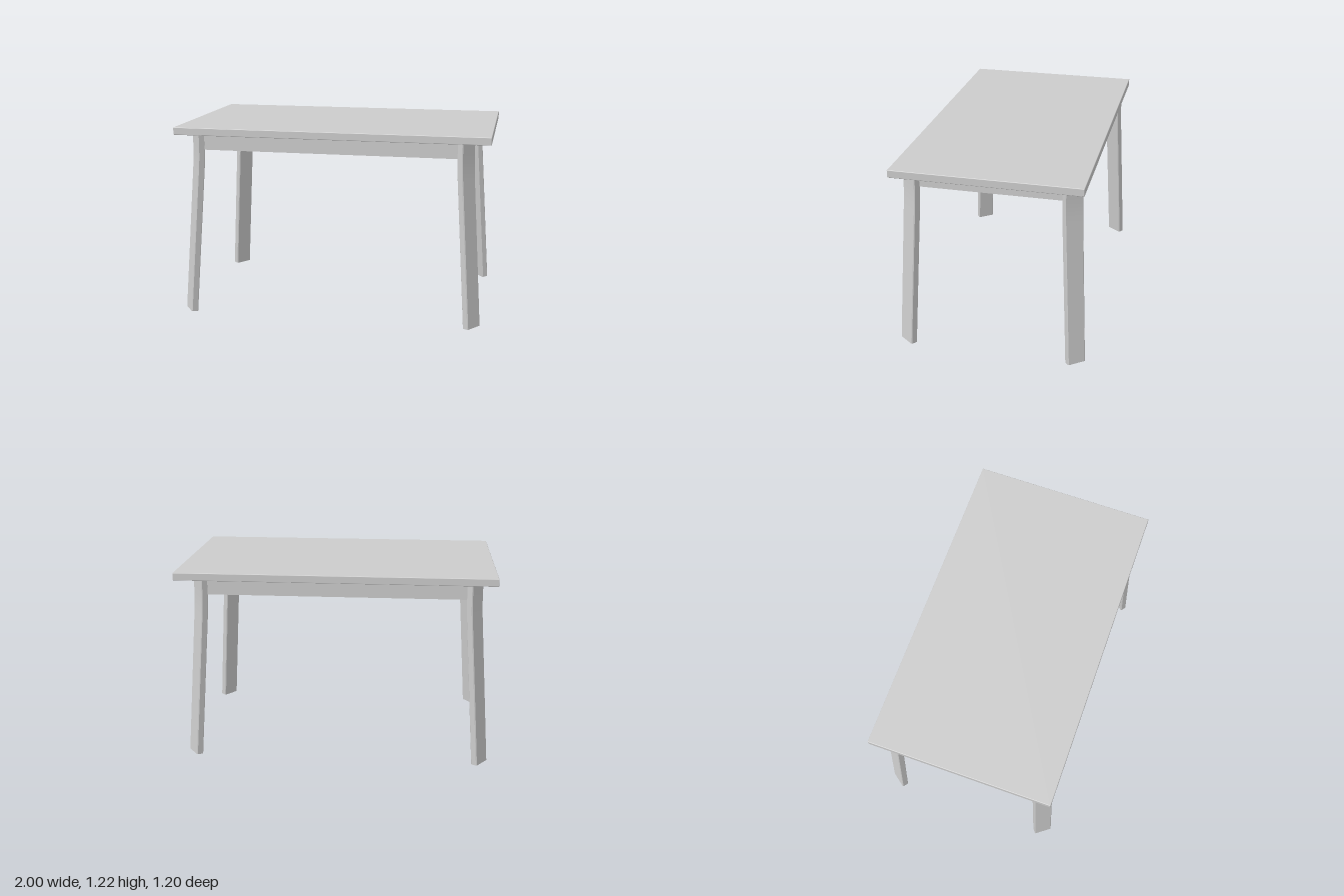
import * as THREE from 'three';
import { toCreasedNormals } from 'three/addons/utils/BufferGeometryUtils.js';
import { RoundedBoxGeometry } from 'three/addons/geometries/RoundedBoxGeometry.js';

const material = new THREE.MeshStandardMaterial({ color: 0xcccccc });
const APRON_TOP = 1.174;

function addMesh(parent, name, geometry, x, y, z) {
  const mesh = new THREE.Mesh(geometry, material);
  mesh.name = name;
  mesh.position.set(x, y, z);
  parent.add(mesh);
  return mesh;
}

// Outward lean: upright at the top, a soft bend, then a straight splay
function lean(y) {
  const start = 1.1, end = 0.95, slope = 0.086;
  if (y >= start) return 0;
  if (y > end) return slope * (start - y) ** 2 / (2 * (start - end));
  return slope * ((start + end) / 2 - y);
}

// Flat board with chamfered edges, bent along its thickness (local +z)
function legGeometry(bottom) {
  const w = 0.059, t = 0.022, c = 0.005;
  const section = new THREE.Shape([
    [w - c, -t], [w, -t + c], [w, t - c], [w - c, t],
    [-w + c, t], [-w, t - c], [-w, -t + c], [-w + c, -t],
  ].map(([x, y]) => new THREE.Vector2(x, y)));
  const height = APRON_TOP - bottom;
  const geometry = new THREE.ExtrudeGeometry(section, { depth: height, steps: 28, bevelEnabled: false });
  geometry.rotateX(-Math.PI / 2);
  const p = geometry.attributes.position;
  for (let i = 0; i < p.count; i++) {
    const y = p.getY(i) + bottom, z = p.getZ(i);
    // foot is cut square to the leaning board
    p.setY(i, y + 0.086 * (z + t) * (1 - (y - bottom) / height));
    p.setZ(i, z + lean(y));
  }
  return toCreasedNormals(geometry, 0.5);
}

export function createModel() {
  const model = new THREE.Group();
  model.name = 'table';
  const body = new THREE.Group();
  body.name = 'tableBody';
  body.rotation.y = -0.005;
  model.add(body);

  // Table top
  addMesh(body, 'tableTop', new RoundedBoxGeometry(1.99, 0.048, 1.15, 2, 0.004), 0, 1.196, 0);

  // Apron frame and legs sit slightly off centre
  const base = new THREE.Group();
  base.name = 'base';
  base.position.x = -0.009;
  body.add(base);

  for (const s of [1, -1]) {
    addMesh(base, s > 0 ? 'frontApron' : 'backApron',
      new THREE.BoxGeometry(1.64, 0.1, 0.03), 0, 1.124, s * 0.505);
    addMesh(base, s > 0 ? 'leftApron' : 'rightApron',
      new THREE.BoxGeometry(0.03, 0.1, 0.9), s * 0.859, 1.124, 0);
  }

  // Legs, broad faces turned outward at the corners
  for (const sx of [1, -1]) {
    for (const sz of [1, -1]) {
      const name = (sz > 0 ? 'front' : 'back') + (sx > 0 ? 'Left' : 'Right') + 'Leg';
      const leg = addMesh(base, name, legGeometry(sx > 0 ? 0.01 : 0), sx * 0.851, 0, sz * 0.485);
      leg.rotation.y = Math.atan2(0.8 * sx, 0.6 * sz);
    }
  }
  return model;
}
